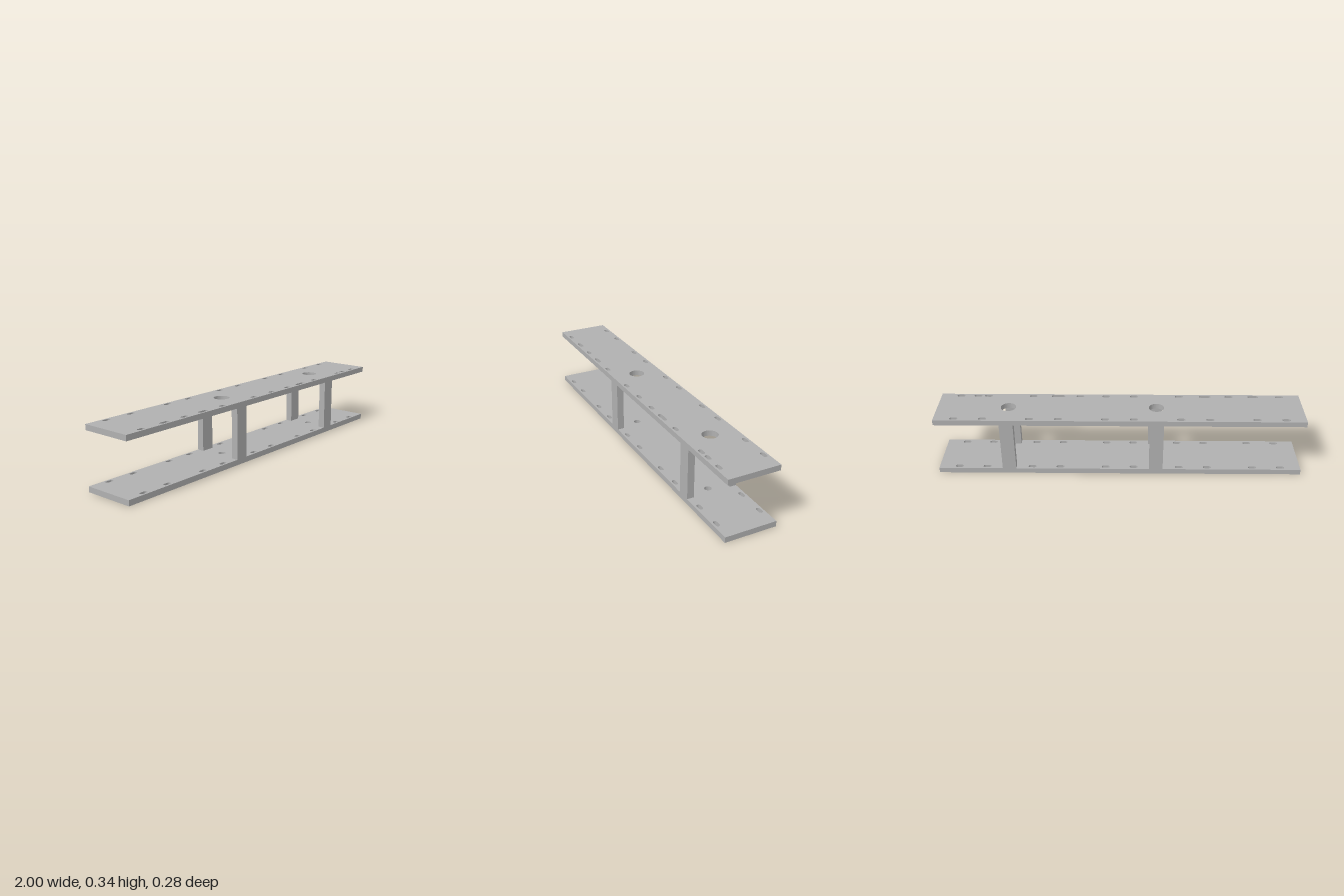
import * as THREE from 'three';

const LENGTH = 2, DEPTH = 0.284, THICK = 0.03, HEIGHT = 0.34;
const POST_X = [-0.2, 0.61];
const SLOT_Z = 0.121, SLOT_W = 0.044, SLOT_R = 0.0105;
const SLOT_X = [-0.89, -0.735, -0.484, -0.329, -0.0775, 0.0775, 0.329, 0.484, 0.735, 0.89];

// Round-ended slot running along x
function slotPath(x0, x1, z) {
  const p = new THREE.Path();
  p.absarc(x1 - SLOT_R, -z, SLOT_R, -Math.PI / 2, Math.PI / 2, false);
  p.absarc(x0 + SLOT_R, -z, SLOT_R, Math.PI / 2, Math.PI * 1.5, false);
  p.closePath();
  return p;
}

// Flat plate with front and back slot rows and two round holes
function plateGeometry(frontSlots, backSlots, holeRadius) {
  const s = new THREE.Shape();
  s.moveTo(-LENGTH / 2, -DEPTH / 2);
  s.lineTo(LENGTH / 2, -DEPTH / 2);
  s.lineTo(LENGTH / 2, DEPTH / 2);
  s.lineTo(-LENGTH / 2, DEPTH / 2);
  s.closePath();
  for (const [a, b] of frontSlots) s.holes.push(slotPath(a, b, SLOT_Z));
  for (const [a, b] of backSlots) s.holes.push(slotPath(a, b, -SLOT_Z));
  for (const x of POST_X) s.holes.push(new THREE.Path().absarc(x, 0, holeRadius, 0, Math.PI * 2, false));
  const g = new THREE.ExtrudeGeometry(s, { depth: THICK, bevelEnabled: false, curveSegments: 16 });
  return g.rotateX(-Math.PI / 2);
}

const toSpans = xs => xs.map(x => [x - SLOT_W / 2, x + SLOT_W / 2]);

// Join overlapping slots into longer ones
function mergeSpans(spans) {
  const out = [];
  for (const [a, b] of spans.sort((p, q) => p[0] - q[0])) {
    const last = out[out.length - 1];
    if (last && a <= last[1]) last[1] = Math.max(last[1], b);
    else out.push([a, b]);
  }
  return out;
}

export function createModel() {
  const group = new THREE.Group();
  group.name = 'spacedPlateFrame';
  const grey = new THREE.MeshStandardMaterial({ color: 0xb0b0b0 });
  grey.name = 'plain grey';

  const add = (name, geometry, x, y, z) => {
    const m = new THREE.Mesh(geometry, grey);
    m.name = name;
    m.position.set(x, y, z);
    group.add(m);
  };

  // Plates: the upper one has extra front slots and wide access holes
  const regular = toSpans(SLOT_X);
  const upperFront = mergeSpans(toSpans([...SLOT_X, -0.75, -0.607, -0.464, 0.222, 0.361, 0.794]));
  add('lowerPlate', plateGeometry(regular, regular, 0.019), 0, 0, 0);
  add('upperPlate', plateGeometry(upperFront, regular, 0.042), 0, HEIGHT - THICK, 0);

  // Spacer posts flush with the front and back edges
  const postDepth = 0.038;
  const post = new THREE.BoxGeometry(0.075, HEIGHT - 2 * THICK, postDepth);
  for (const x of POST_X) {
    add('frontPost', post, x, HEIGHT / 2, (DEPTH - postDepth) / 2);
    add('backPost', post, x, HEIGHT / 2, -(DEPTH - postDepth) / 2);
  }
  return group;
}
